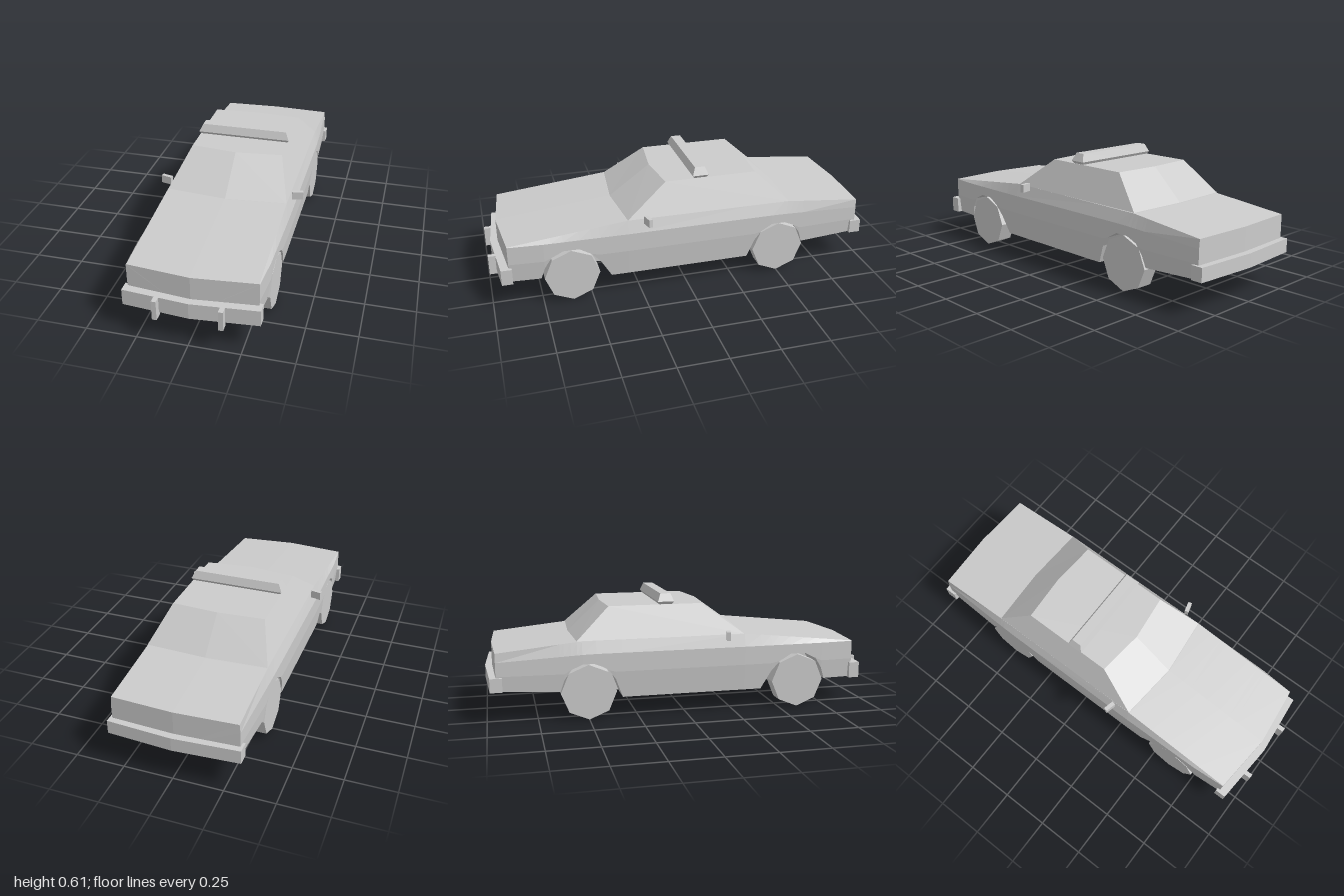
import * as THREE from 'three';

const material = new THREE.MeshStandardMaterial({ color: 0xcccccc, flatShading: true });

// Piecewise linear lookup; keys run from high to low.
function lookup(table, t) {
  if (t >= table[0][0]) return table[0][1];
  for (let i = 1; i < table.length; i++) {
    const [k0, v0] = table[i - 1], [k1, v1] = table[i];
    if (t >= k1) return v0 + (v1 - v0) * (k0 - t) / (k0 - k1);
  }
  return table[table.length - 1][1];
}

// Skin closed rings (counter-clockwise seen from the first ring's outside) and cap both ends.
function loft(rings) {
  const pos = [];
  const tri = (a, b, c) => {
    const area = new THREE.Triangle(new THREE.Vector3(...a), new THREE.Vector3(...b), new THREE.Vector3(...c)).getArea();
    if (area > 1e-8) pos.push(...a, ...b, ...c);
  };
  const n = rings[0].length;
  for (let k = 0; k + 1 < rings.length; k++) {
    for (let i = 0; i < n; i++) {
      const j = (i + 1) % n;
      const a = rings[k][i], b = rings[k][j], c = rings[k + 1][j], d = rings[k + 1][i];
      tri(a, d, c);
      tri(a, c, b);
    }
  }
  const first = rings[0], last = rings[rings.length - 1];
  for (let i = 1; i + 1 < n; i++) {
    tri(first[0], first[i], first[i + 1]);
    tri(last[0], last[i + 1], last[i]);
  }
  const geo = new THREE.BufferGeometry();
  geo.setAttribute('position', new THREE.Float32BufferAttribute(pos, 3));
  geo.computeVertexNormals();
  return geo;
}

function add(parent, name, geo, x = 0, y = 0, z = 0) {
  const mesh = new THREE.Mesh(geo, material);
  mesh.name = name;
  mesh.position.set(x, y, z);
  parent.add(mesh);
  return mesh;
}

// Lower edge of the body side, including both wheel arches: [z, y]
const sill = [
  [0.91, 0.14], [0.755, 0.14], [0.735, 0.2], [0.7, 0.255], [0.64, 0.285], [0.56, 0.285],
  [0.5, 0.25], [0.455, 0.2], [0.4, 0.105], [-0.33, 0.105], [-0.365, 0.2], [-0.4, 0.25],
  [-0.46, 0.285], [-0.53, 0.285], [-0.585, 0.26], [-0.62, 0.21], [-0.64, 0.15], [-0.95, 0.165],
];
const floorLine = [[0.91, 0.14], [0.755, 0.14], [0.4, 0.105], [-0.33, 0.105], [-0.64, 0.15], [-0.95, 0.165]];
const deckLine = [[0.91, 0.337], [0.31, 0.4], [-0.555, 0.395], [-0.95, 0.355]];
const beltLine = [[0.31, 0.335], [-0.5, 0.335], [-0.95, 0.31]];
const beltWidth = [[0.91, 0.313], [0.73, 0.326], [0.3, 0.333], [-0.5, 0.333], [-0.95, 0.315]];
const bow = [[0.31, 0.03], [-0.38, -0.015]]; // forward or rearward bulge of the centre line

function bodyRing(z) {
  const bottom = lookup(sill, z), floor = lookup(floorLine, z), deck = lookup(deckLine, z);
  const belt = Math.min(lookup(beltLine, z), deck - 0.002), w = lookup(beltWidth, z);
  const mid = Math.max(0.24, bottom);
  const low = w - 0.014 * Math.max(0, (0.24 - bottom) / 0.135);
  const zc = z + lookup(bow, z);
  const half = [[0.17, floor], [0.17, bottom], [low, bottom], [w, mid], [w, belt], [0.311, deck]];
  return [
    [0, floor, zc],
    ...half.map(([x, y]) => [x, y, z]),
    [0, deck, zc],
    ...half.slice().reverse().map(([x, y]) => [-x, y, z]),
  ];
}

// Six-sided horizontal ring with bowed front and back edges
const planRing = (x, y, front, frontMid, back, backMid) => [
  [0, y, frontMid], [x, y, front], [x, y, back], [0, y, backMid], [-x, y, back], [-x, y, front],
];

export function createModel() {
  const car = new THREE.Group();
  car.name = 'car';

  // Body with wheel wells
  const stations = [...sill.map((p) => p[0]), 0.31, -0.555].sort((a, b) => b - a);
  add(car, 'body', loft(stations.map(bodyRing)));

  // Cabin with sloping windows
  add(car, 'cabin', loft([
    planRing(0.24, 0.556, 0.095, 0.122, -0.385, -0.4),
    planRing(0.311, 0.398, 0.31, 0.34, -0.555, -0.57),
  ]));

  // Roof light bar
  const barRing = (x, y, d) => planRing(x, y, -0.09 + d, -0.09 + d, -0.09 - d, -0.09 - d);
  add(car, 'lightBar', loft([
    barRing(0.227, 0.61, 0.026), barRing(0.246, 0.57, 0.042), barRing(0.236, 0.555, 0.032),
  ]));

  // Bumpers
  add(car, 'frontBumper', loft([0.22, 0.138].map((y) => planRing(0.328, y, 0.95, 0.978, 0.895, 0.895))));
  add(car, 'rearBumper', loft([0.235, 0.165].map((y) => planRing(0.328, y, -0.92, -0.92, -0.98, -1))));

  for (const side of [1, -1]) {
    const label = side > 0 ? 'left' : 'right';

    // Bumper guards
    add(car, label + 'BumperGuard', new THREE.BoxGeometry(0.023, 0.102, 0.045), side * 0.156, 0.169, 0.9775);

    // Door mirrors
    const mirror = add(car, label + 'Mirror', new THREE.BoxGeometry(0.056, 0.042, 0.02), side * 0.348, 0.4, 0.212);
    mirror.rotation.y = side * 0.25;

    // Octagonal wheels
    for (const [end, z] of [['Front', 0.6], ['Rear', -0.5]]) {
      const wheel = new THREE.CylinderGeometry(0.14, 0.14, 0.085, 8).rotateZ(Math.PI / 2);
      add(car, label + end + 'Wheel', wheel, side * 0.2825, 0.14, z);
    }
  }
  return car;
}
